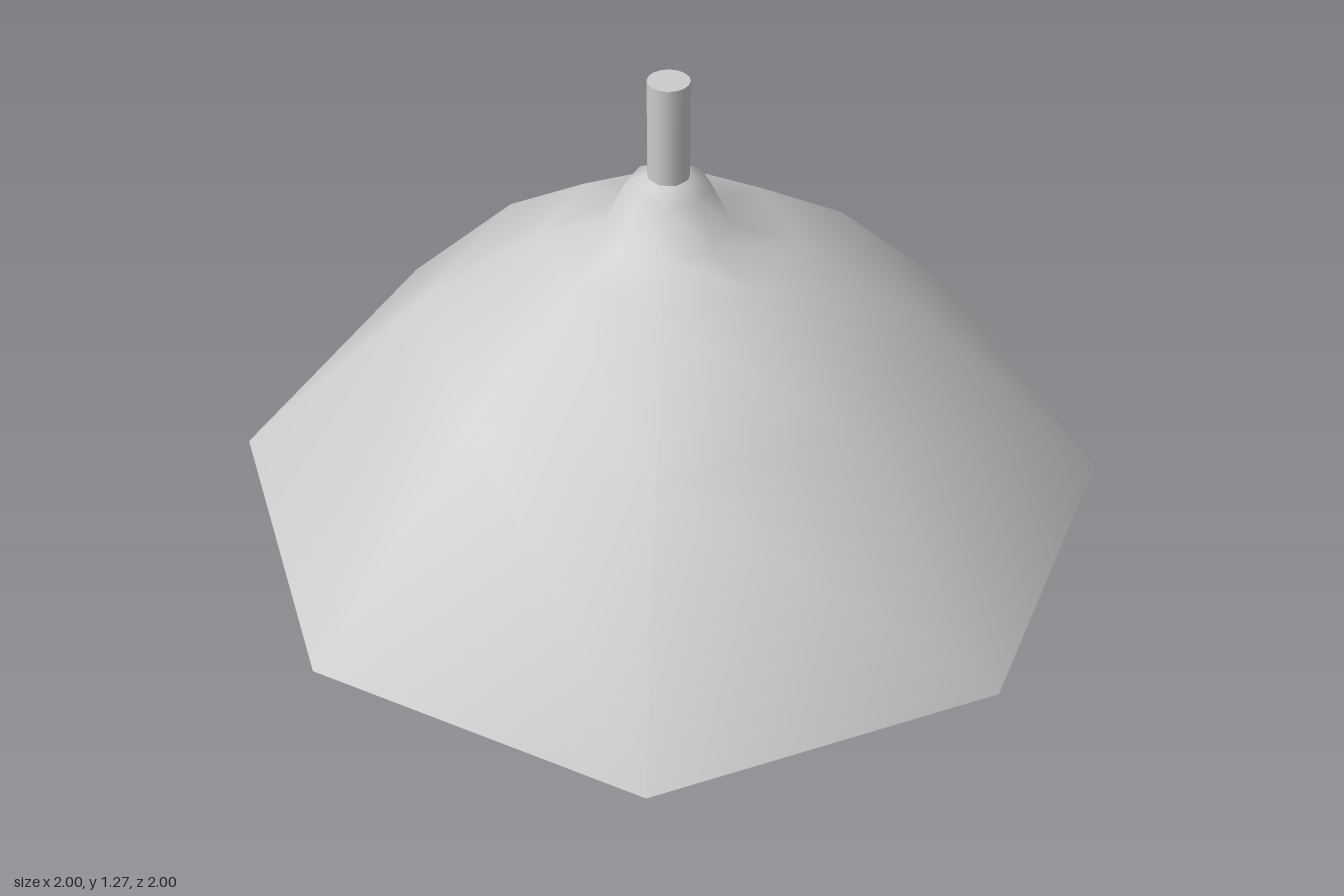
import * as THREE from 'three';

const material = new THREE.MeshStandardMaterial({ color: 0xcccccc });

// Turned part from [radius, height] pairs; outer surfaces run upwards
function turned(name, profile, sides = 8) {
  const points = profile.map(([r, y]) => new THREE.Vector2(r, y));
  const mesh = new THREE.Mesh(new THREE.LatheGeometry(points, sides), material);
  mesh.name = name;
  return mesh;
}

export function createModel() {
  const lamp = new THREE.Group();
  lamp.name = 'pendantLamp';

  // Eight-sided shade: lining from the crown down, round the flat rim,
  // up the outside and over the stepped collar
  lamp.add(turned('shade', [
    [0.13, 0.75], [0.27, 0.71], [0.56, 0.52], [0.925, 0.26],
    [1, 0.26], [0.56, 0.69], [0.28, 0.885], [0.14, 0.92],
    [0.092, 1.02], [0.045, 1.045],
  ]));

  // Hanging rod
  const rod = new THREE.Mesh(new THREE.CylinderGeometry(0.045, 0.045, 0.23, 16), material);
  rod.name = 'rod';
  rod.position.y = 1.155;
  lamp.add(rod);

  // Bulb: round globe with a wide neck running up into the crown
  const radius = 0.285;
  const globe = [];
  for (let i = 0; i <= 6; i++) {
    const a = (i * Math.PI) / 8;
    globe.push([radius * Math.sin(a), radius * (1 - Math.cos(a))]);
  }
  lamp.add(turned('bulb', [...globe, [0.13, 0.56], [0.145, 0.76]]));

  return lamp;
}
